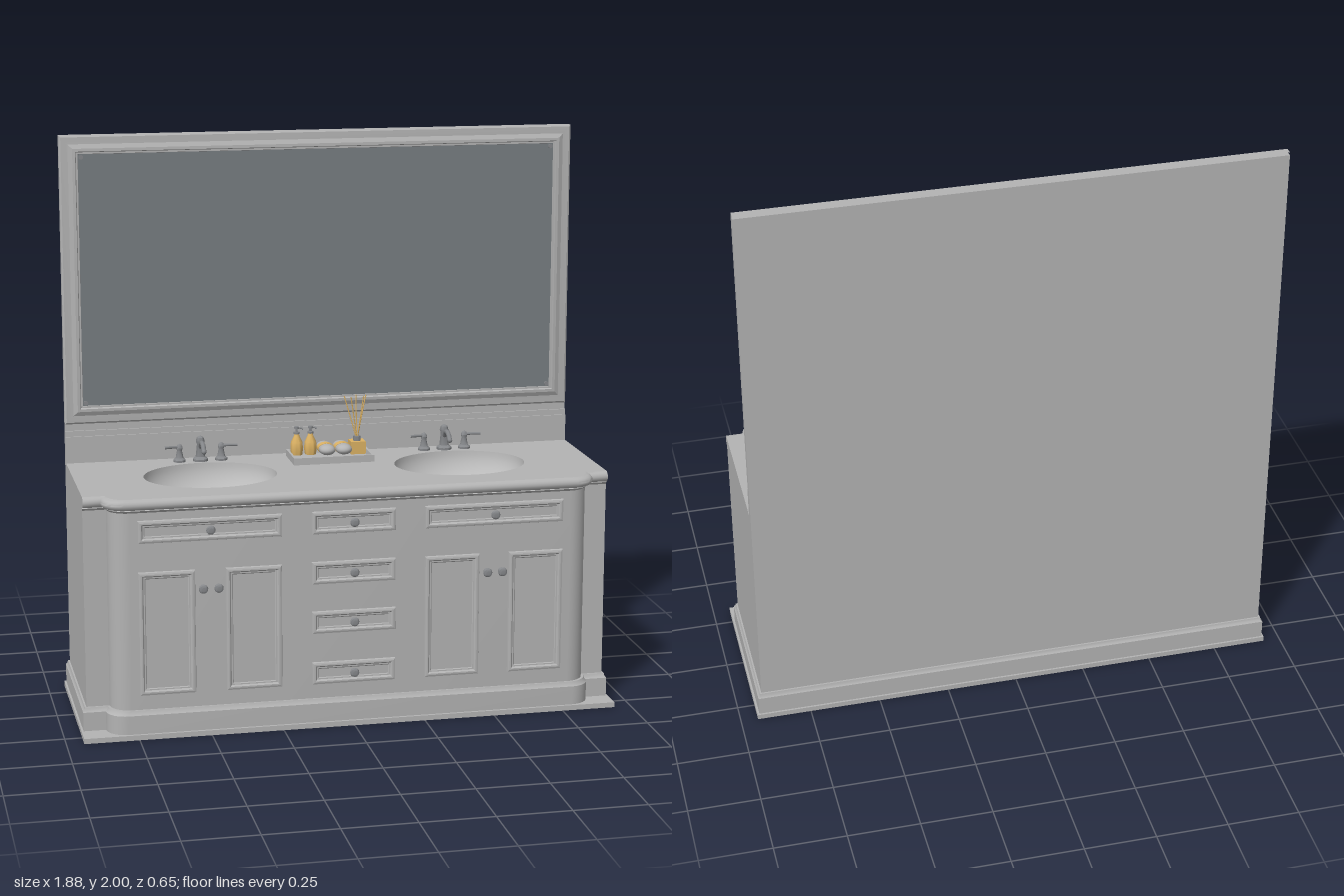
import * as THREE from 'three';
import { toCreasedNormals } from 'three/addons/utils/BufferGeometryUtils.js';

const mat = (name, color, side = THREE.FrontSide) => {
  const m = new THREE.MeshStandardMaterial({ color, side });
  m.name = name;
  return m;
};
const paint = mat('grey paint', 0xb3b3b3);
const porcelain = mat('porcelain', 0xbababa, THREE.DoubleSide);
const glass = mat('mirror glass', 0x787e81);
const metal = mat('metal', 0x85878a);
const gold = mat('gold', 0xdcb264);

// Joins closed rings of points into a skin, optionally closing the last ring
function skin(rings, cap = false, crease = 0.6) {
  const n = rings[0].length, idx = [];
  rings.forEach((r, k) => {
    if (k === rings.length - 1) return;
    for (let i = 0; i < n; i++) {
      const a = k * n + i, b = k * n + (i + 1) % n;
      idx.push(a, b, b + n, a, b + n, a + n);
    }
  });
  const o = (rings.length - 1) * n;
  if (cap) for (let i = 1; i < n - 1; i++) idx.push(o, o + i, o + i + 1);
  const g = new THREE.BufferGeometry();
  g.setAttribute('position', new THREE.Float32BufferAttribute(rings.flat(2), 3));
  g.setIndex(idx);
  return toCreasedNormals(g, crease);
}

// Plan of the cabinet: narrow wings and a bowed-out front with round corners
function plan(f, s) {
  const half = [[0.92 + s, -0.31 - s], [0.92 + s, 0.22 + f], [0.84 + f, 0.22 + f]];
  for (let i = 1; i <= 8; i++) {
    const a = (i / 8) * Math.PI / 2;
    half.push([0.77 + f + 0.07 * Math.cos(a), 0.22 + f + 0.07 * Math.sin(a)]);
  }
  return [...half.map(([x, z]) => [-x, z]), ...half.reverse()];
}
// Profile rows are [front offset, side offset, y]
const loftPlan = (rows) => skin(rows.map(([f, s, y]) => plan(f, s).map(([x, z]) => [x, y, z])));

// Mitred rectangular moulding; rows are [inset, z]
const moulding = (w, h, rows, cap) => skin(rows.map(([d, z]) => {
  const x = w / 2 - d, y = h / 2 - d;
  return [[-x, -y, z], [x, -y, z], [x, y, z], [-x, y, z]];
}), cap, 0.3);

const lathe = (pts, seg = 20) =>
  toCreasedNormals(new THREE.LatheGeometry(pts.map(p => new THREE.Vector2(...p)), seg), 0.7);
const box = (x0, x1, y0, y1, z0, z1) =>
  new THREE.BoxGeometry(x1 - x0, y1 - y0, z1 - z0).translate((x0 + x1) / 2, (y0 + y1) / 2, (z0 + z1) / 2);
const tube = (pts, r) =>
  new THREE.TubeGeometry(new THREE.CatmullRomCurve3(pts.map(p => new THREE.Vector3(...p))), 16, r, 8);

function add(parent, name, geo, material, x = 0, y = 0, z = 0) {
  const m = new THREE.Mesh(geo, material);
  m.name = name;
  m.position.set(x, y, z);
  parent.add(m);
  return m;
}
function group(parent, name, x = 0, y = 0, z = 0) {
  const g = new THREE.Group();
  g.name = name;
  g.position.set(x, y, z);
  parent.add(g);
  return g;
}

function addFaucet(parent, x) {
  const f = group(parent, 'faucet', x, 0.84, -0.225);
  add(f, 'spoutBase', lathe([[0.027, 0], [0.027, 0.008], [0.017, 0.016], [0.012, 0.06],
    [0.016, 0.072], [0.012, 0.085], [0, 0.092]]), metal);
  add(f, 'spout', tube([[0, 0.045, 0], [0, 0.07, 0.03], [0, 0.07, 0.06], [0, 0.05, 0.085]], 0.009), metal);
  add(f, 'spoutTip', new THREE.SphereGeometry(0.009, 10, 8), metal, 0, 0.05, 0.085);
  for (const s of [-1, 1]) {
    const h = group(f, 'tapHandle', s * 0.075);
    add(h, 'tapBase', lathe([[0.022, 0], [0.022, 0.007], [0.014, 0.014], [0.009, 0.04],
      [0.012, 0.05], [0.008, 0.06], [0, 0.065]]), metal);
    add(h, 'lever', tube([[0, 0.052, 0], [s * 0.03, 0.055, 0.01], [s * 0.056, 0.056, 0.02]], 0.005), metal);
  }
}

function addTray(parent) {
  const t = group(parent, 'trayWithAccessories', 0, 0.84, 0);
  add(t, 'tray', moulding(0.29, 0.15, [[0, 0], [0, 0.025], [0.008, 0.025], [0.011, 0.008]], true)
    .rotateX(-Math.PI / 2), paint, 0.01, 0, -0.155);
  for (const x of [-0.1, -0.05]) {
    const b = group(t, 'pumpBottle', x, 0.008, -0.213);
    add(b, 'bottle', lathe([[0, 0], [0.02, 0], [0.023, 0.02], [0.021, 0.045], [0.01, 0.068], [0.008, 0.078], [0, 0.078]]), gold);
    add(b, 'pump', lathe([[0.011, 0.076], [0.011, 0.083], [0.004, 0.084], [0.004, 0.094], [0.009, 0.095], [0.009, 0.102], [0, 0.102]], 12), metal);
    add(b, 'nozzle', tube([[0, 0.098, 0], [0.014, 0.098, 0.006], [0.022, 0.094, 0.01]], 0.003), metal);
  }
  // Two rolled towels, held by gold bands
  for (const x of [0.003, 0.064]) {
    const r = group(t, 'rolledTowel', x, 0.03, -0.2);
    r.scale.set(1, 0.65, 1);
    add(r, 'towel', new THREE.CapsuleGeometry(0.029, 0.062, 6, 16).rotateX(Math.PI / 2), paint);
    add(r, 'towelBand', new THREE.CylinderGeometry(0.0305, 0.0305, 0.03, 16).rotateX(Math.PI / 2), gold);
  }
  const d = group(t, 'reedDiffuser', 0.118, 0.008, -0.2);
  add(d, 'diffuserJar', box(-0.027, 0.027, 0, 0.045, -0.027, 0.027), gold);
  add(d, 'diffuserNeck', lathe([[0.014, 0.045], [0.014, 0.062], [0, 0.062]], 12), metal);
  for (const [dx, dz] of [[-0.045, -0.01], [-0.025, 0.015], [0, -0.02], [0.022, 0.01], [0.035, -0.012]])
    add(d, 'reed', tube([[-dx * 0.1, 0.03, 0], [dx * 0.45, 0.12, dz * 0.5], [dx, 0.208, dz]], 0.002), gold);
}

export function createModel() {
  const root = new THREE.Group();
  root.name = 'doubleVanity';

  // Cabinet carcass and base
  add(root, 'floorSlab', box(-0.94, 0.94, 0, 0.018, -0.33, 0.315), paint);
  add(root, 'plinth', loftPlan([[0.015, 0.013, 0.018], [0.015, 0.013, 0.084], [0.01, 0.008, 0.09],
    [0.007, 0.006, 0.1], [0, 0, 0.1]]), paint);
  add(root, 'cabinetBody', loftPlan([[0, 0, 0.09], [0, 0, 0.8]]), paint);

  // Countertop with a rounded front edge and two basin openings
  const nose = [[0, 0, 0.792], [0.006, 0, 0.8]];
  for (let i = 0; i <= 8; i++) {
    const a = (i / 8 - 0.5) * Math.PI;
    nose.push([0.002 + 0.019 * Math.cos(a), 0, 0.821 + 0.019 * Math.sin(a)]);
  }
  const counter = group(root, 'countertop');
  add(counter, 'counterEdge', loftPlan(nose), paint);
  const top = new THREE.Shape(plan(0.002, 0).map(([x, z]) => new THREE.Vector2(x, -z)));
  for (const x of [-0.447, 0.447])
    top.holes.push(new THREE.Path().absellipse(x, 0.003, 0.233, 0.186, 0, Math.PI * 2, true));
  add(counter, 'counterTop', new THREE.ShapeGeometry(top, 32).rotateX(-Math.PI / 2), paint, 0, 0.84, 0);

  // Basins and faucets
  const bowl = [];
  for (let i = 0; i <= 14; i++) {
    const a = (i / 14) * Math.PI / 2;
    bowl.push(new THREE.Vector2(Math.sin(a), -0.14 * Math.cos(a)));
  }
  for (const x of [-0.447, 0.447]) {
    add(root, 'basin', new THREE.LatheGeometry(bowl, 48).scale(0.234, 1, 0.187), porcelain, x, 0.84, -0.003);
    add(root, 'drain', new THREE.CylinderGeometry(0.025, 0.025, 0.006, 24), metal, x, 0.702, -0.003);
    addFaucet(root, x);
  }
  addTray(root);

  // Drawer and door fronts: [x centre, y centre, width, height]
  const fronts = [];
  for (const y of [0.725, 0.548, 0.372, 0.19]) fronts.push(['drawer', 0, y, 0.295, 0.08]);
  for (const s of [-1, 1]) {
    fronts.push(['drawer', s * 0.497, 0.725, 0.495, 0.08]);
    for (const x of [0.348, 0.647]) fronts.push(['door', s * x, 0.368, 0.195, 0.435]);
  }
  const rows = [[0, 0], [0.002, 0.007], [0.008, 0.009], [0.013, 0.009], [0.018, 0.003], [0.022, 0.003], [0.025, 0.001]];
  const knobGeo = lathe([[0.011, 0], [0.009, 0.004], [0.006, 0.009], [0.011, 0.012], [0.016, 0.019],
    [0.014, 0.026], [0.008, 0.03], [0, 0.031]], 16).rotateX(Math.PI / 2);
  for (const [kind, x, y, w, h] of fronts) {
    add(root, kind + 'Front', moulding(w, h, rows, true), paint, x, y, 0.29);
    if (kind === 'drawer') add(root, 'drawerKnob', knobGeo, metal, x, y, 0.29);
  }
  for (const s of [-1, 1]) for (const x of [0.471, 0.524])
    add(root, 'doorKnob', knobGeo, metal, s * x, 0.52, 0.29);

  // Back panel, backsplash and small ledge
  add(root, 'backPanel', box(-0.92, 0.92, 0.8, 1.99, -0.31, -0.288), paint);
  add(root, 'backsplash', box(-0.92, 0.92, 0.838, 0.935, -0.3, -0.275), paint);
  add(root, 'backsplashLedge', box(-0.92, 0.92, 0.935, 0.955, -0.3, -0.281), paint);

  // Mirror with a moulded frame and corner studs
  const mirror = group(root, 'mirror', 0, 1.49, 0);
  add(mirror, 'mirrorFrame', moulding(1.84, 1.02, [[0, -0.31], [0, -0.283], [0.006, -0.279], [0.03, -0.277],
    [0.045, -0.27], [0.055, -0.269], [0.058, -0.277], [0.064, -0.277], [0.066, -0.283]]), paint);
  add(mirror, 'mirrorGlass', new THREE.PlaneGeometry(1.72, 0.9), glass, 0, 0, -0.28);
  for (const sx of [-1, 1]) for (const sy of [-1, 1])
    add(mirror, 'mirrorStud', new THREE.CylinderGeometry(0.008, 0.008, 0.006, 12).rotateX(Math.PI / 2),
      metal, sx * 0.845, sy * 0.435, -0.278);
  return root;
}
